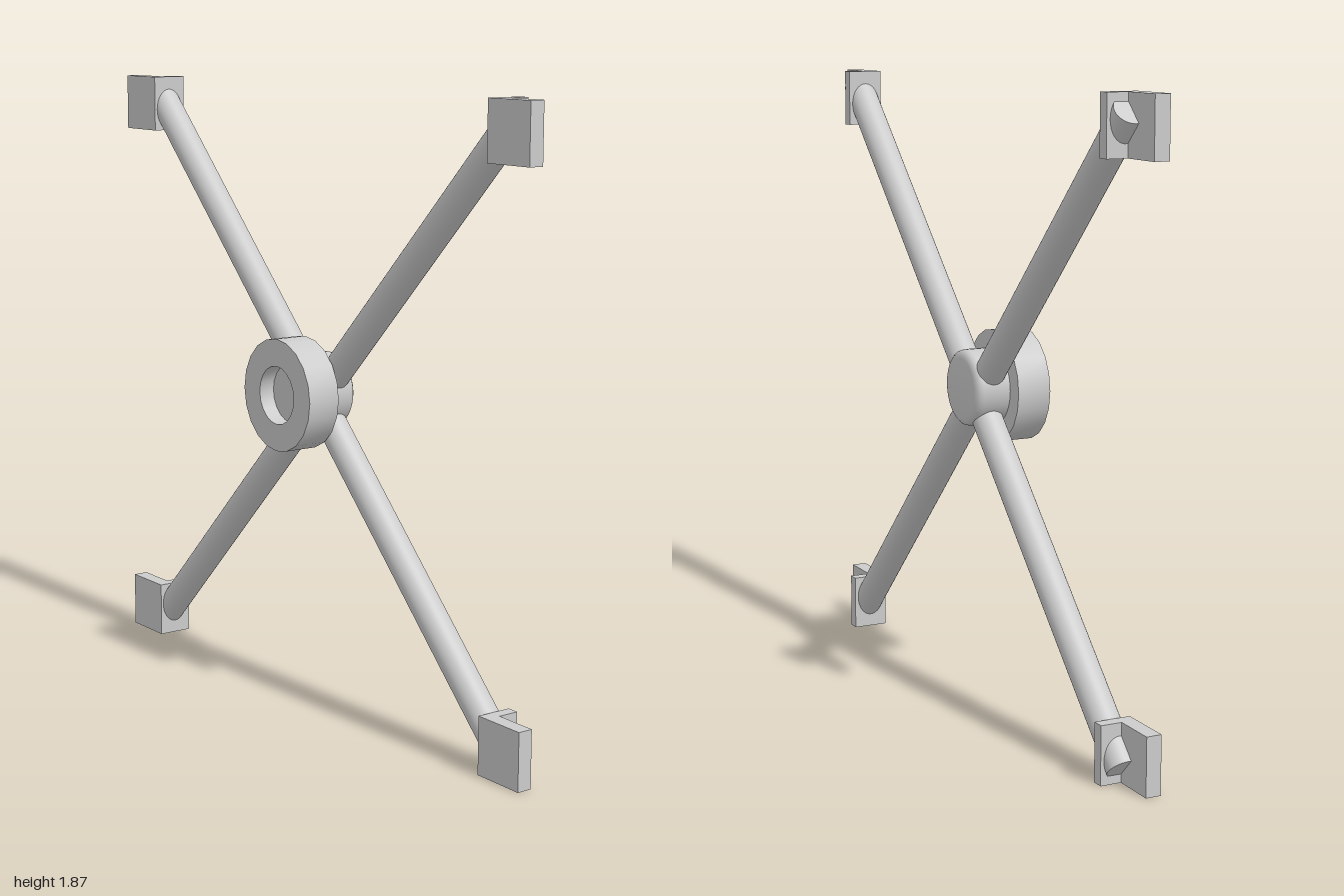
import * as THREE from 'three';
import { toCreasedNormals } from 'three/addons/utils/BufferGeometryUtils.js';

const MID_Y = 0.935; // height where the arms cross
const HUB_Y = 0.96; // hub sits slightly above the crossing
const ARM_Z = -0.05;

export function createModel() {
  const group = new THREE.Group();
  const material = new THREE.MeshStandardMaterial({ color: 0xcccccc });

  const add = (name, geometry, x, y, z, parent = group) => {
    const mesh = new THREE.Mesh(geometry, material);
    mesh.name = name;
    mesh.position.set(x, y, z);
    parent.add(mesh);
    return mesh;
  };

  // Round part turned about the z axis; profile is [radius, z] from back to front
  const turned = (profile, sides) => {
    const points = profile.map(([r, z]) => new THREE.Vector2(r, z));
    const geometry = new THREE.LatheGeometry(points, sides).rotateX(Math.PI / 2);
    return toCreasedNormals(geometry, 0.6);
  };

  // Front ring with a shallow round recess
  add('hubRing', turned([
    [0, 0], [0.17, 0], [0.17, 0.105], [0.088, 0.105], [0.088, 0.055], [0, 0.055],
  ], 20), 0, HUB_Y, 0);

  // Rear hub core with a softened back edge
  add('hubCore', turned([
    [0, -0.107], [0.09, -0.107], [0.103, -0.104], [0.112, -0.096],
    [0.115, -0.085], [0.115, 0.01], [0, 0.01],
  ], 32), 0, HUB_Y, 0);

  // Four diagonal arms, each passing through an L-shaped corner bracket
  const reach = 0.888;
  const armGeometry = new THREE.CylinderGeometry(0.046, 0.046, reach * Math.SQRT2, 32);
  const plateGeometry = new THREE.BoxGeometry(0.17, 0.172, 0.046);
  const flangeGeometry = new THREE.BoxGeometry(0.036, 0.172, 0.11);

  for (const sx of [1, -1]) {
    for (const sy of [1, -1]) {
      const arm = add('arm', armGeometry, sx * reach / 2, MID_Y + sy * reach / 2, ARM_Z);
      arm.rotation.z = -sx * sy * Math.PI / 4;

      const bracket = new THREE.Group();
      bracket.name = 'cornerBracket';
      bracket.position.y = MID_Y + sy * (MID_Y - 0.086);
      add('bracketPlate', plateGeometry, sx * 0.915, 0, -0.019, bracket);
      add('bracketFlange', flangeGeometry, sx * 0.848, 0, -0.051, bracket);
      group.add(bracket);
    }
  }
  return group;
}
